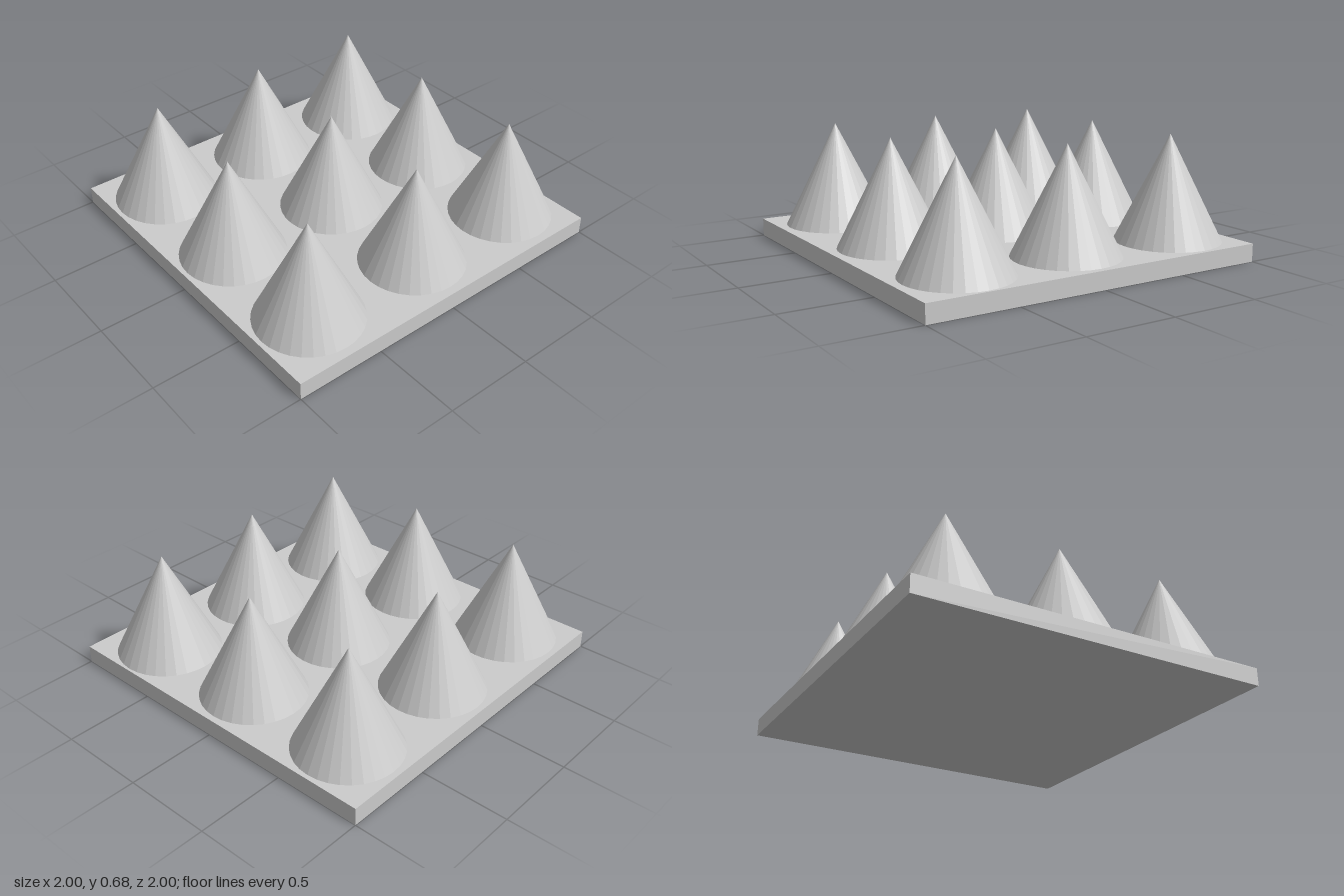
import * as THREE from 'three';

export function createModel() {
  const model = new THREE.Group();
  model.name = 'spikedPlate';
  const material = new THREE.MeshStandardMaterial({ color: 0xcccccc, flatShading: true });

  // Square base plate
  const plateHeight = 0.1;
  const plate = new THREE.Mesh(new THREE.BoxGeometry(2, plateHeight, 2), material);
  plate.name = 'basePlate';
  plate.position.y = plateHeight / 2;
  model.add(plate);

  // Nine cones in slightly uneven rows: z per row, from right to left
  const coneHeight = 0.583;
  const coneGeometry = new THREE.ConeGeometry(0.293, coneHeight, 32);
  const columns = [-0.674, 0, 0.66];
  const rows = {
    back: [-0.683, -0.673, -0.693],
    middle: [0, 0, -0.017],
    front: [0.683, 0.683, 0.683],
  };
  const sides = ['Right', 'Center', 'Left'];
  for (const [row, depths] of Object.entries(rows)) {
    depths.forEach((z, i) => {
      const cone = new THREE.Mesh(coneGeometry, material);
      cone.name = `${row}${sides[i]}Cone`;
      cone.position.set(columns[i], plateHeight + coneHeight / 2, z);
      model.add(cone);
    });
  }
  return model;
}
